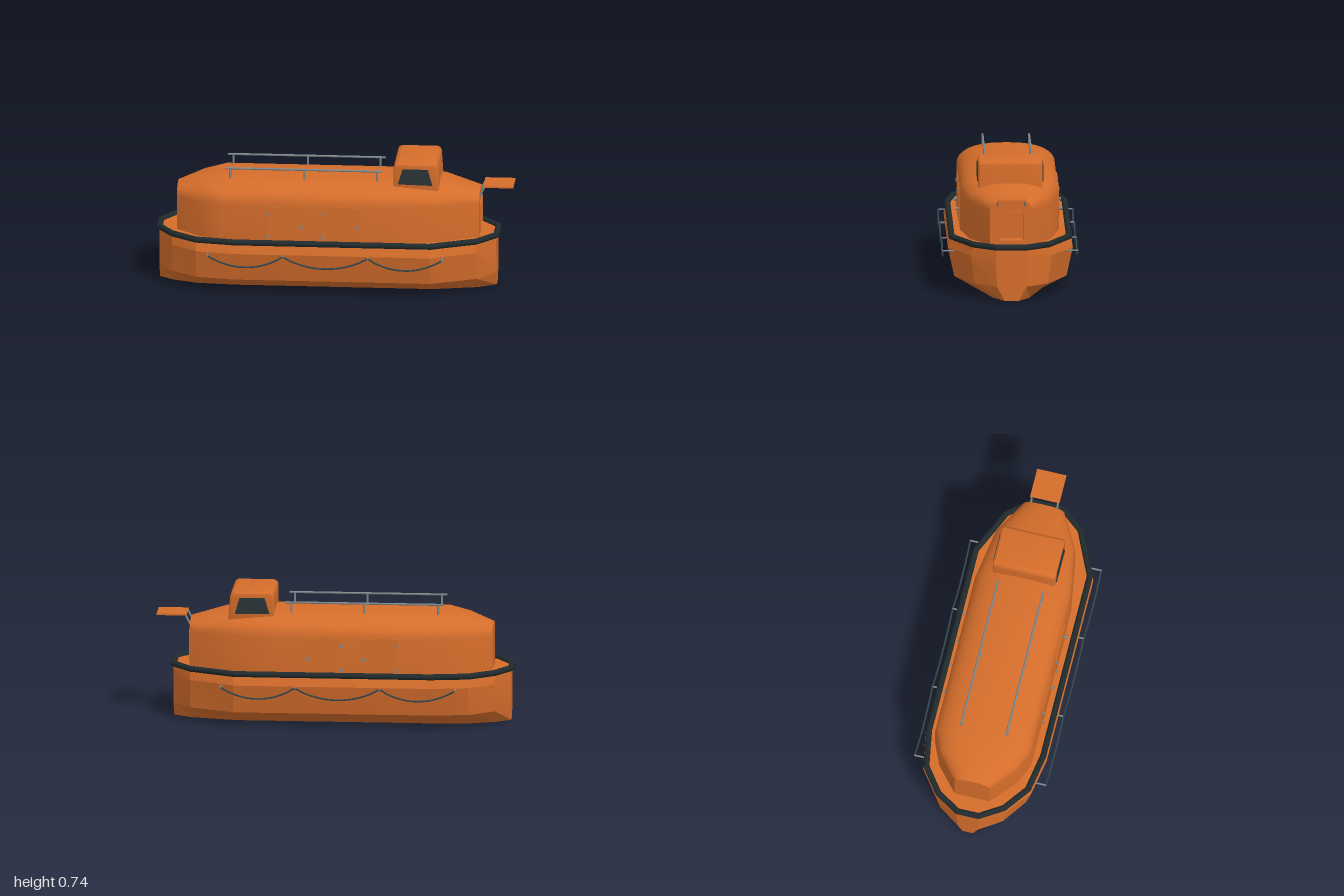
import * as THREE from 'three';
import { toCreasedNormals } from 'three/addons/utils/BufferGeometryUtils.js';

const material = (name, color, side = THREE.FrontSide) => {
  const m = new THREE.MeshStandardMaterial({ color, side });
  m.name = name;
  return m;
};

// Joins closed rings of points (counterclockwise seen from +x) along x
function loft(rings, capStart, capEnd, crease) {
  const pos = [];
  const tri = (a, b, c) => pos.push(...a, ...b, ...c);
  const n = rings[0].length;
  for (let k = 0; k < rings.length - 1; k++) {
    for (let i = 0; i < n; i++) {
      const j = (i + 1) % n;
      const a = rings[k][i], b = rings[k][j], c = rings[k + 1][j], d = rings[k + 1][i];
      tri(a, b, c);
      tri(a, c, d);
    }
  }
  const first = rings[0], last = rings[rings.length - 1];
  for (let i = 1; i < n - 1; i++) {
    if (capStart) tri(first[0], first[i + 1], first[i]);
    if (capEnd) tri(last[0], last[i], last[i + 1]);
  }
  const g = new THREE.BufferGeometry();
  g.setAttribute('position', new THREE.Float32BufferAttribute(pos, 3));
  return toCreasedNormals(g, crease);
}

function roundedRect(path, x0, y0, x1, y1, r) {
  path.moveTo(x0 + r, y0);
  path.lineTo(x1 - r, y0);
  path.quadraticCurveTo(x1, y0, x1, y0 + r);
  path.lineTo(x1, y1 - r);
  path.quadraticCurveTo(x1, y1, x1 - r, y1);
  path.lineTo(x0 + r, y1);
  path.quadraticCurveTo(x0, y1, x0, y1 - r);
  path.lineTo(x0, y0 + r);
  path.quadraticCurveTo(x0, y0, x0 + r, y0);
  return path;
}

export function createModel() {
  const boat = new THREE.Group();
  boat.name = 'lifeboat';
  const orange = material('orange', 0xd56d2b);
  const rubber = material('black rubber', 0x202a2c);
  const glass = material('dark glass', 0x2b3437);
  const metal = material('grey metal', 0x7f878a);
  const ropeColor = material('rope', 0x34484d);

  const add = (name, geometry, mat, x = 0, y = 0, z = 0) => {
    const m = new THREE.Mesh(geometry, mat);
    m.name = name;
    m.position.set(x, y, z);
    boat.add(m);
    return m;
  };
  const box = (name, mat, w, h, d, x, y, z) => add(name, new THREE.BoxGeometry(w, h, d), mat, x, y, z);
  const rod = (name, mat, a, b, r, sides = 10) => {
    const p = new THREE.Vector3(...a), q = new THREE.Vector3(...b);
    const m = add(name, new THREE.CylinderGeometry(r, r, p.distanceTo(q), sides), mat);
    m.position.copy(p).add(q).multiplyScalar(0.5);
    m.quaternion.setFromUnitVectors(new THREE.Vector3(0, 1, 0), q.sub(p).normalize());
    return m;
  };

  // Hull: plan stations [x, half width], levels [y, width factor]
  const plan = [[-0.98, 0.065], [-0.9, 0.2], [-0.76, 0.31], [-0.55, 0.348], [0.55, 0.348], [0.8, 0.226], [0.903, 0.09]];
  const levels = [[0.3, 0.94], [0.24, 1], [0.08, 0.9], [0, 0.45]];
  const hullRings = plan.map(([x, w]) => [
    ...levels.map(([y, f]) => [x, y, w * f]),
    ...[...levels].reverse().map(([y, f]) => [x, y, -w * f]),
  ]);
  add('hull', loft(hullRings, true, true, 0.2), orange);

  // Rubber fender around the gunwale
  const rim = [...plan.map(([x, w]) => [x, 0.302, w * 0.94]), ...[...plan].reverse().map(([x, w]) => [x, 0.302, -w * 0.94])];
  rim.forEach((p, i) => {
    rod('fender', rubber, p, rim[(i + 1) % rim.length], 0.017, 12);
    add('fenderCorner', new THREE.SphereGeometry(0.017, 12, 8), rubber, ...p);
  });

  // Cabin: straight walls under a rounded roof, stations [x, half width, top]
  const cabinSection = ([x, w, top]) => {
    const ring = [[x, 0.285, -w]];
    const wall = 0.5 - (0.625 - top) * 0.1;
    for (let i = 0; i <= 16; i++) {
      const a = (i / 16) * Math.PI, c = Math.cos(a), s = Math.sin(a);
      ring.push([x, wall + (top - wall) * Math.pow(Math.abs(s), 0.85), -w * Math.sign(c) * Math.pow(Math.abs(c), 0.8)]);
    }
    ring.push([x, 0.285, w]);
    return ring;
  };
  const cabin = [[-0.88, 0.1, 0.55], [-0.74, 0.222, 0.598], [-0.62, 0.275, 0.625], [0.32, 0.275, 0.625], [0.61, 0.228, 0.608], [0.81, 0.118, 0.555]];
  const cabinRings = cabin.map(cabinSection);
  add('cabin', loft(cabinRings, true, false, 0.45), orange);

  // End wall with the hatch opening, its frame and recess
  const endShape = new THREE.Shape(cabinRings[5].map(([, y, z]) => new THREE.Vector2(-z, y)));
  endShape.holes.push(roundedRect(new THREE.Path(), -0.068, 0.325, 0.068, 0.485, 0.014));
  add('endWall', new THREE.ShapeGeometry(endShape), orange, 0.81).rotation.y = Math.PI / 2;
  const frameShape = roundedRect(new THREE.Shape(), -0.074, 0.319, 0.074, 0.491, 0.018);
  frameShape.holes.push(roundedRect(new THREE.Path(), -0.067, 0.326, 0.067, 0.484, 0.013));
  const frame = new THREE.ExtrudeGeometry(frameShape, { depth: 0.09, bevelEnabled: false });
  add('hatchFrame', frame, orange, 0.727).rotation.y = Math.PI / 2;
  box('hatchRecess', orange, 0.008, 0.17, 0.146, 0.727, 0.405, 0);

  // Raised hatch cover and arms
  box('hatchCover', orange, 0.168, 0.009, 0.168, 0.914, 0.58, 0);
  for (const z of [-0.075, 0.075]) {
    rod('hatchArm', metal, [0.808, 0.52, z], [0.836, 0.577, z], 0.006);
  }

  // Wheelhouse: side profile extruded across the boat
  const house = new THREE.Shape();
  house.moveTo(0.345, 0.598);
  house.lineTo(0.58, 0.58);
  house.lineTo(0.571, 0.705);
  house.quadraticCurveTo(0.569, 0.725, 0.55, 0.725);
  house.lineTo(0.368, 0.725);
  house.quadraticCurveTo(0.345, 0.725, 0.345, 0.702);
  house.closePath();
  const houseGeo = new THREE.ExtrudeGeometry(house, {
    depth: 0.334, bevelThickness: 0.012, bevelSize: 0.01, bevelSegments: 3, curveSegments: 6,
  });
  houseGeo.translate(0, 0, -0.167);
  add('wheelhouse', toCreasedNormals(houseGeo, 0.6), orange);

  // Wheelhouse side windows
  const pane = new THREE.Shape([[0.36, 0.617], [0.553, 0.612], [0.527, 0.704], [0.387, 0.704]].map(p => new THREE.Vector2(...p)));
  const paneGeo = new THREE.ExtrudeGeometry(pane, { depth: 0.006, bevelEnabled: false });

  for (const s of [1, -1]) {
    add('window', paneGeo, glass, 0, 0, s > 0 ? 0.178 : -0.184);

    // Roof rail
    rod('roofRail', metal, [-0.61, 0.672, s * 0.13], [0.27, 0.672, s * 0.13], 0.006);
    for (const x of [-0.58, -0.165, 0.24]) {
      rod('railPost', metal, [x, 0.595, s * 0.13], [x, 0.672, s * 0.13], 0.006);
    }

    // Side doors with hinges and handles
    for (const x of [-0.36, -0.05]) {
      box('sideDoor', orange, 0.215, 0.195, 0.008, x + 0.1075, 0.405, s * 0.276);
      for (const y of [0.325, 0.462]) box('hinge', metal, 0.012, 0.022, 0.012, x, y, s * 0.28);
      rod('doorHandle', metal, [x + 0.187, 0.386, s * 0.275], [x + 0.187, 0.386, s * 0.299], 0.009);
    }

    // Grab rope hanging in swags from short brackets
    const hooks = [-0.69, -0.27, 0.205, 0.62];
    const points = [];
    hooks.forEach((x, i) => {
      rod('ropeBracket', metal, [x, 0.234, s * 0.31], [x, 0.234, s * 0.379], 0.005);
      if (i === 3) return;
      for (let k = 0; k < 10; k++) {
        const t = k / 10;
        points.push(new THREE.Vector3(x + (hooks[i + 1] - x) * t, 0.235 - 0.062 * 4 * t * (1 - t), s * 0.375));
      }
    });
    points.push(new THREE.Vector3(0.62, 0.235, s * 0.375));
    add('grabRope', new THREE.TubeGeometry(new THREE.CatmullRomCurve3(points), 90, 0.005, 6), ropeColor);
  }
  return boat;
}
